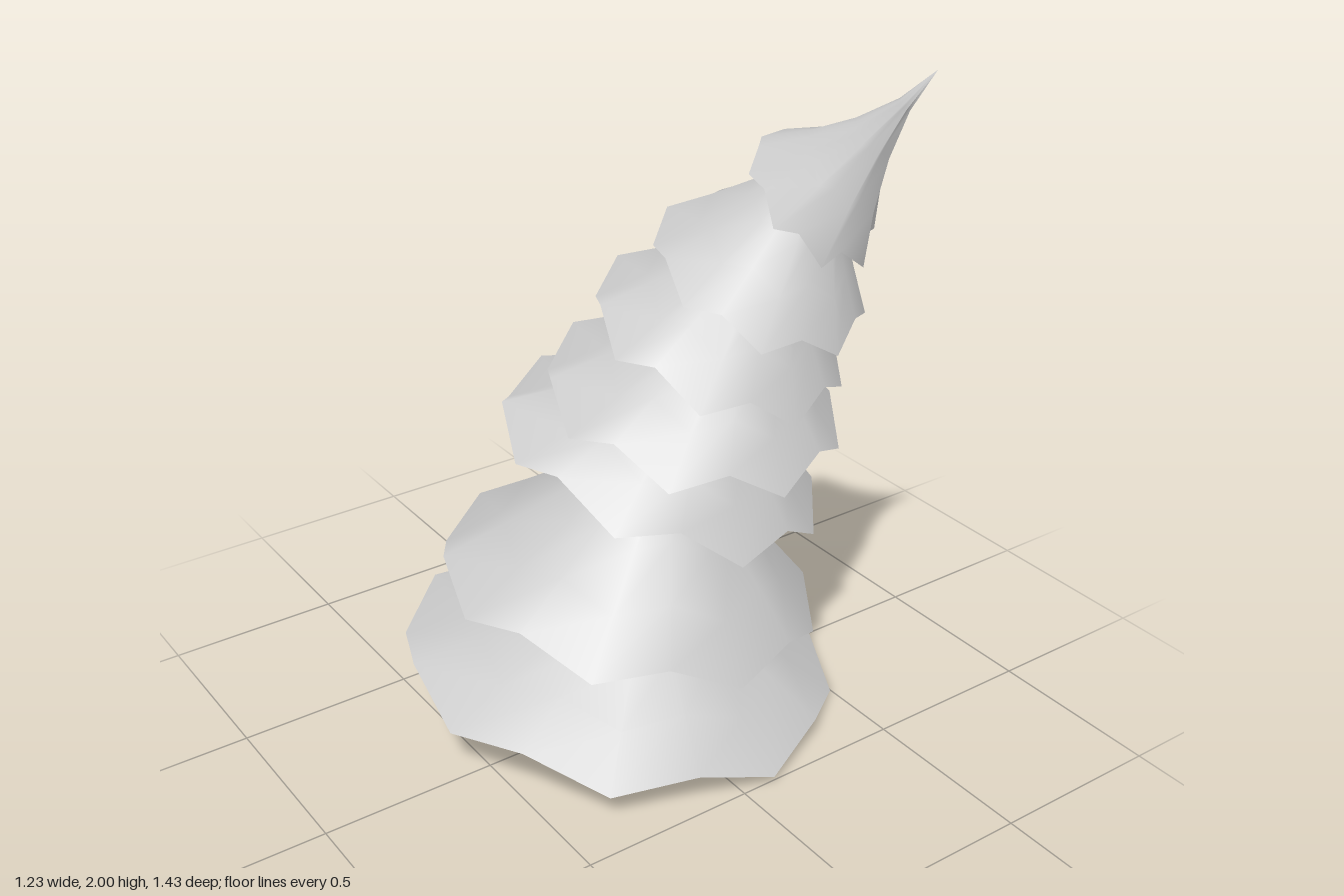
import * as THREE from 'three';

const SIDES = 16; // eight drooping tips with eight raised notches between them

// Each tier: rim centre, radius, rim slope along x and z, turn in degrees,
// notch lift and radius factor, concavity power, apex
const TIERS = [
  { c: [0, 0.09, -0.1], r: 0.62, sx: -0.113, sz: -0.093, turn: -8.5, lift: 0.06, notch: 0.98, power: 1.05, apex: [0.02, 0.53, 0.04] },
  { c: [0.01, 0.365, -0.065], r: 0.53, sx: -0.16, sz: -0.09, turn: 0, lift: 0.07, notch: 0.98, power: 1, apex: [0.06, 0.94, 0.09] },
  { c: [0.05, 0.785, 0.03], r: 0.43, sx: -0.24, sz: -0.25, turn: 6, lift: 0.075, notch: 0.98, power: 1.1, apex: [0.12, 1.22, 0.19] },
  { c: [0.09, 0.98, 0.12], r: 0.39, sx: -0.07, sz: -0.23, turn: 0, lift: 0.07, notch: 0.97, power: 1.15, apex: [0.16, 1.41, 0.28] },
  { c: [0.11, 1.2, 0.2], r: 0.32, sx: -0.1, sz: -0.35, turn: 0, lift: 0.06, notch: 0.96, power: 1.15, apex: [0.19, 1.61, 0.36] },
  { c: [0.15, 1.4, 0.31], r: 0.265, sx: -0.07, sz: -0.45, turn: -8, lift: 0.045, notch: 0.95, power: 1.15, apex: [0.24, 1.79, 0.46] },
  { c: [0.21, 1.625, 0.425], r: 0.155, sx: -0.06, sz: -0.85, turn: -15, lift: 0.03, notch: 0.87, power: 1.7, apex: [0.31, 2.0, 0.715] },
];

// Hollow pleated cone running from a zigzag rim to a leaning apex
function tierGeometry({ c, r, sx, sz, turn, lift, notch, power, apex }) {
  const positions = [], index = [];
  const centre = new THREE.Vector3(...c), tip = new THREE.Vector3(...apex);
  const steps = [0, 0.25, 0.5, 0.75];
  for (const s of steps) {
    const mid = centre.clone().lerp(tip, s);
    const k = Math.pow(1 - s, power);
    for (let i = 0; i < SIDES; i++) {
      const a = THREE.MathUtils.degToRad(turn) + (i / SIDES) * Math.PI * 2;
      const isNotch = i % 2;
      const rad = r * (isNotch ? notch - 0.12 * s : 1); // pleats deepen inward
      const x = Math.cos(a) * rad, z = Math.sin(a) * rad;
      const y = x * sx + z * sz + isNotch * lift;
      positions.push(mid.x + x * k, mid.y + y * k, mid.z + z * k);
    }
  }
  const top = positions.length / 3;
  positions.push(...apex);
  for (let j = 0; j < steps.length; j++) {
    for (let i = 0; i < SIDES; i++) {
      const n = (i + 1) % SIDES;
      const a = j * SIDES + i, b = j * SIDES + n;
      if (j === steps.length - 1) index.push(a, top, b);
      else index.push(a, a + SIDES, b, b, a + SIDES, b + SIDES);
    }
  }
  const geo = new THREE.BufferGeometry();
  geo.setAttribute('position', new THREE.Float32BufferAttribute(positions, 3));
  geo.setIndex(index);
  geo.computeVertexNormals();
  return geo;
}

export function createModel() {
  const tree = new THREE.Group();
  tree.name = 'leaningTree';
  const material = new THREE.MeshStandardMaterial({ color: 0xcccccc, side: THREE.DoubleSide });
  TIERS.forEach((tier, i) => {
    const mesh = new THREE.Mesh(tierGeometry(tier), material);
    mesh.name = i === TIERS.length - 1 ? 'treeTop' : `branchTier${i + 1}`;
    tree.add(mesh);
  });
  return tree;
}
